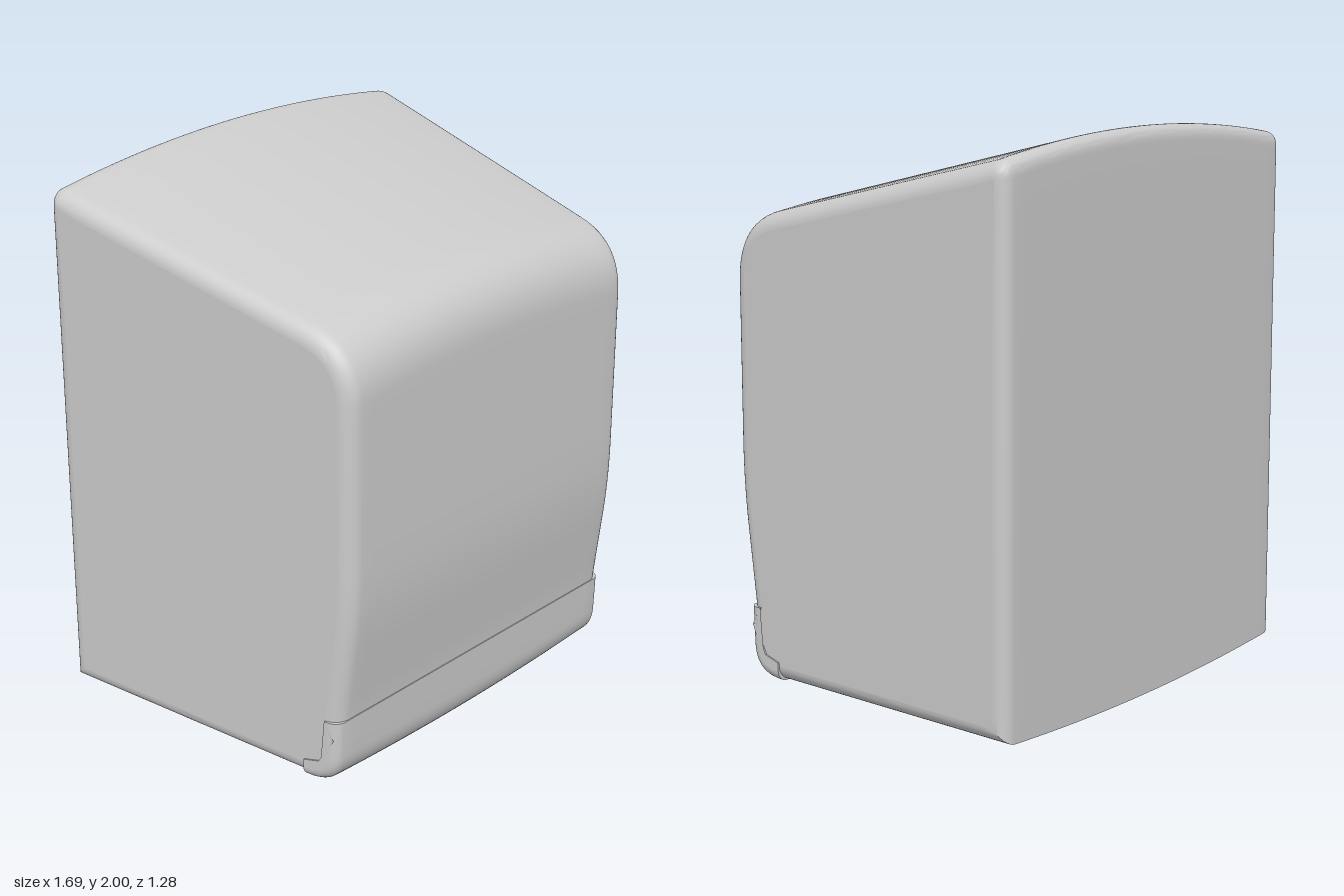
import * as THREE from 'three';
import { mergeGeometries, toCreasedNormals } from 'three/addons/utils/BufferGeometryUtils.js';

const material = new THREE.MeshStandardMaterial({ color: 0xcccccc });
const halfWidth = (z) => 0.784 - 0.1 * z;

// The top sags and the underside lifts towards the sides.
function crown(x, y) {
  const s = (x / 0.84) ** 2;
  return y - 0.07 * s * THREE.MathUtils.smoothstep(y, 1.25, 1.57)
    + 0.032 * s * (1 - THREE.MathUtils.smoothstep(y, 0, 0.28));
}

// Corners are [z, y, cut, normalZ, normalY]; cut > 0 rounds the corner.
function roundedProfile(corners) {
  const pts = [];
  corners.forEach(([z, y, cut, nz, ny], i) => {
    const p = new THREE.Vector2(z, y);
    const toward = (k) => {
      const q = corners[(k + corners.length) % corners.length];
      return new THREE.Vector2(q[0], q[1]).sub(p).setLength(cut).add(p);
    };
    if (cut) pts.push(...new THREE.QuadraticBezierCurve(toward(i - 1), p, toward(i + 1)).getPoints(12));
    else {
      if (nz !== undefined) p.fixed = new THREE.Vector2(nz, ny);
      pts.push(p);
    }
  });
  // Divide long straights so that they can follow the crown.
  const out = [];
  pts.forEach((p, i) => {
    const q = pts[(i + 1) % pts.length];
    const n = Math.ceil(p.distanceTo(q) / 0.1);
    out.push(p);
    for (let k = 1; k < n; k++) out.push(p.clone().lerp(q, k / n));
  });
  return out;
}

// Sweeps a side profile across the tapered width, rounding both side edges.
function sweptShell(corners, r, extra = 0) {
  const profile = roundedProfile(corners);
  const n = profile.length;
  const normals = profile.map((p, i) => {
    if (p.fixed) return p.fixed;
    const edge = (a, b) => new THREE.Vector2(b.y - a.y, a.x - b.x).normalize();
    const a = edge(profile[(i + n - 1) % n], p), b = edge(p, profile[(i + 1) % n]);
    return a.clone().add(b).divideScalar(1 + a.dot(b));
  });
  const stations = [];
  const steps = 8, spans = 28;
  for (let k = 0; k <= steps; k++) stations.push({ side: -1, a: (1 - k / steps) * Math.PI / 2 });
  for (let k = 1; k < spans; k++) stations.push({ side: -1 + 2 * k / spans, a: 0 });
  for (let k = 0; k <= steps; k++) stations.push({ side: 1, a: k / steps * Math.PI / 2 });

  const ring = ({ side, a }) => profile.flatMap((p, j) => {
    const inset = r * (1 - Math.cos(a));
    const z = p.x - normals[j].x * inset, y = p.y - normals[j].y * inset;
    const x = side * (halfWidth(z) + extra - r + r * Math.sin(a));
    return [x, crown(x, y), z];
  });
  const make = (pos, index) => {
    const g = new THREE.BufferGeometry();
    g.setAttribute('position', new THREE.Float32BufferAttribute(pos, 3));
    g.setIndex(index);
    return toCreasedNormals(g, 0.5);
  };

  const index = [];
  for (let i = 0; i < stations.length - 1; i++) {
    for (let j = 0; j < n; j++) {
      const a = i * n + j, b = i * n + (j + 1) % n;
      index.push(a, a + n, b + n, a, b + n, b);
    }
  }
  const parts = [make(stations.flatMap(ring), index)];
  // Flat side walls
  for (const s of [stations[0], stations[stations.length - 1]]) {
    const pos = ring(s);
    const outline = profile.map((p, j) => new THREE.Vector2(pos[j * 3 + 2], pos[j * 3 + 1]));
    const faces = THREE.ShapeUtils.triangulateShape(outline, []);
    parts.push(make(pos, faces.flatMap(([a, b, c]) => (s.side < 0 ? [a, b, c] : [a, c, b]))));
  }
  return mergeGeometries(parts);
}

export function createModel() {
  const model = new THREE.Group();
  const add = (parent, name, geometry, x = 0, y = 0, z = 0) => {
    const mesh = new THREE.Mesh(geometry, material);
    mesh.name = name;
    mesh.position.set(x, y, z);
    parent.add(mesh);
    return mesh;
  };

  // Main housing with sloping top and tapered chin
  add(model, 'housing', sweptShell([
    [-0.64, 0.01, 0], [0.572, 0.01, 0.13], [0.583, 0.28, 0], [0.64, 0.72, 0.16],
    [0.64, 1.702, 0.2], [-0.64, 2.013, 0.07],
  ], 0.055));

  // Wrap-around cover on the lower front edge
  add(model, 'chinCover', sweptShell([
    [0.44, 0.006, 0, 0, -1], [0.578, 0.006, 0.13], [0.587, 0.285, 0, 1, 0],
    [0.53, 0.285, 0, 0, 0], [0.53, 0.15, 0, 0, 0], [0.505, 0.1, 0, 0, 0], [0.44, 0.08, 0, 0, 0],
  ], 0.04, 0.006));

  // Underside fittings
  const underside = new THREE.Group();
  underside.name = 'underside';
  model.add(underside);
  const outlet = add(underside, 'airOutlet', new THREE.BoxGeometry(0.86, 0.006, 0.022), 0, 0.013, 0.33);
  outlet.rotation.x = 0.6;
  add(underside, 'sensorWindow', new THREE.BoxGeometry(0.12, 0.012, 0.1), 0, 0.012, 0.21);

  // Intake grilles: a framed set of slats each side, short vents between
  const frame = new THREE.Shape();
  frame.moveTo(-0.105, -0.13).lineTo(0.105, -0.13).lineTo(0.105, 0.13).lineTo(-0.105, 0.13);
  const hole = new THREE.Path();
  hole.moveTo(-0.095, -0.12).lineTo(-0.095, 0.12).lineTo(0.095, 0.12).lineTo(0.095, -0.12);
  frame.holes.push(hole);
  const frameGeometry = new THREE.ExtrudeGeometry(frame, { depth: 0.018, bevelEnabled: false }).rotateX(Math.PI / 2);
  const slat = new THREE.BoxGeometry(0.07, 0.014, 0.018);
  const vent = new THREE.BoxGeometry(0.05, 0.01, 0.014);
  for (const s of [-1, 1]) {
    add(underside, 'intakeFrame', frameGeometry, s * 0.325, 0.018, -0.2);
    for (let row = 0; row < 6; row++) {
      const z = -0.3 + row * 0.04;
      for (const dx of [-0.045, 0.045]) add(underside, 'intakeSlat', slat, s * 0.325 + dx, 0.012, z);
      if (row < 5) for (const x of [0.06, 0.12, 0.18]) add(underside, 'centreVent', vent, s * x, 0.011, z + 0.02);
    }
  }
  return model;
}
